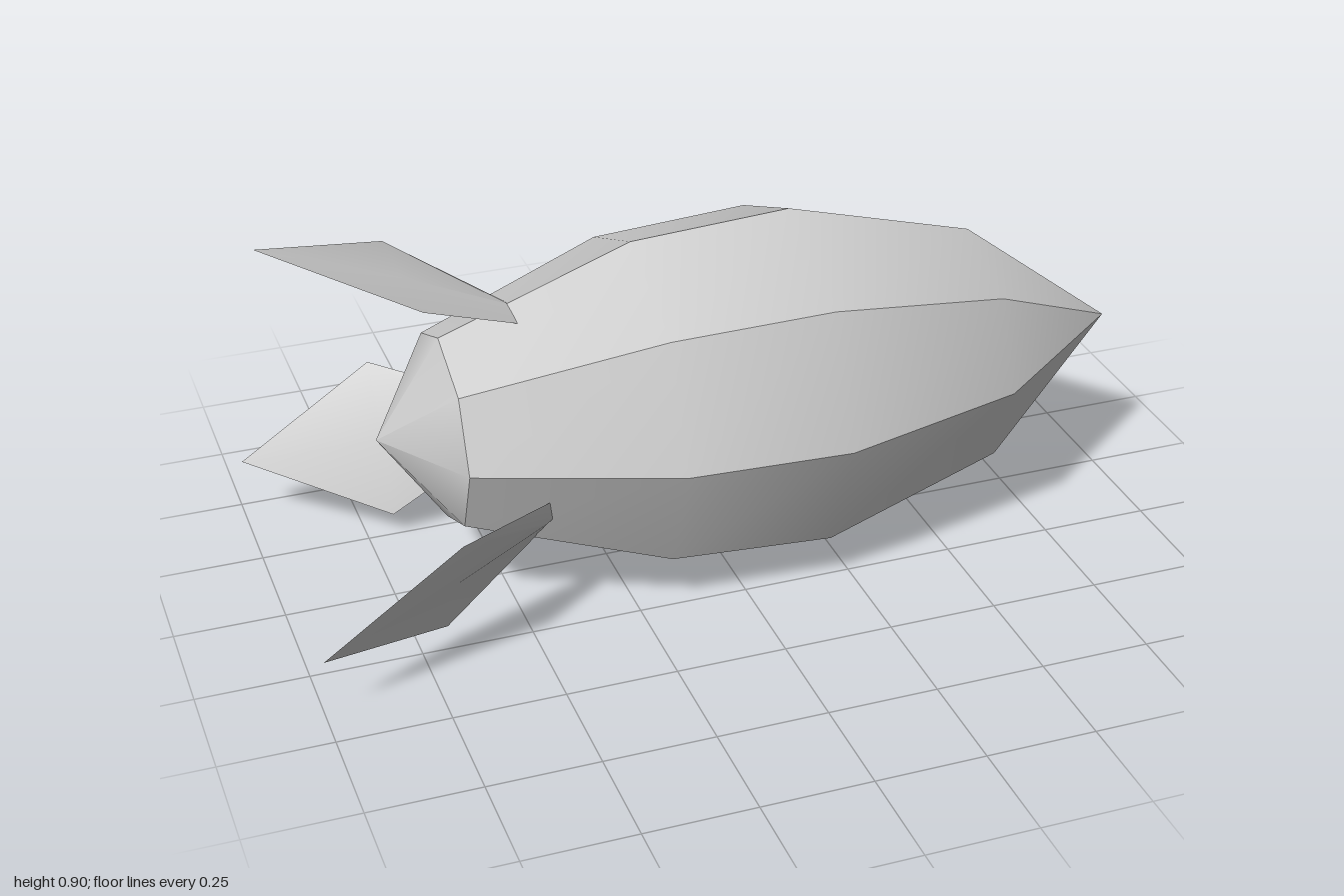
import * as THREE from 'three';
import { toCreasedNormals } from 'three/addons/utils/BufferGeometryUtils.js';

const AXIS_Y = 0.405;
const CREASE = THREE.MathUtils.degToRad(30);

// Eight-sided hull turned around the x axis: [radius, x] from tail to nose
function hullGeometry() {
  const profile = [[0, -0.77], [0.225, -0.62], [0.384, -0.18], [0.405, 0.19], [0.283, 0.63], [0, 0.995]];
  const geometry = new THREE.LatheGeometry(profile.map(([r, x]) => new THREE.Vector2(r, x)), 8);
  geometry.rotateZ(-Math.PI / 2);
  return toCreasedNormals(geometry, CREASE);
}

// Kite-shaped fin with a thin keel, from diamond sections running tip to root
function finGeometry() {
  // x, half width, edge height, ridge height, keel height (above the hull axis)
  const sections = [
    [-1.0, 0, 0.5, 0.5, 0.5],
    [-0.69, 0.18, 0.387, 0.383, 0.355],
    [-0.46, 0.06, 0.262, 0.28, 0.25],
    [-0.4, 0.03, 0.23, 0.245, 0.22],
  ];
  const positions = [];
  const indices = [];
  sections.forEach(([x, w, edge, ridge, keel], i) => {
    positions.push(x, edge, w, x, ridge, 0, x, edge, -w, x, keel, 0);
    if (i === 0) return;
    for (let k = 0; k < 4; k++) {
      const a = (i - 1) * 4 + k, b = (i - 1) * 4 + ((k + 1) % 4);
      const c = i * 4 + k, d = i * 4 + ((k + 1) % 4);
      if (i > 1) indices.push(a, c, b);
      else indices.push(a, c, d); // the tip is a single point
      if (i > 1) indices.push(b, c, d);
    }
  });
  const geometry = new THREE.BufferGeometry();
  geometry.setAttribute('position', new THREE.Float32BufferAttribute(positions, 3));
  geometry.setIndex(indices);
  return toCreasedNormals(geometry, CREASE);
}

export function createModel() {
  const model = new THREE.Group();
  model.name = 'airship';
  const grey = new THREE.MeshStandardMaterial({ color: 0xcccccc });
  grey.name = 'light grey';
  grey.side = THREE.DoubleSide;

  const hull = new THREE.Mesh(hullGeometry(), grey);
  hull.name = 'hull';
  hull.position.y = AXIS_Y;
  model.add(hull);

  // Three tail fins spaced evenly around the hull
  const geometry = finGeometry();
  ['topFin', 'leftFin', 'rightFin'].forEach((name, i) => {
    const fin = new THREE.Mesh(geometry, grey);
    fin.name = name;
    fin.position.y = AXIS_Y;
    fin.rotation.x = (i * Math.PI * 2) / 3;
    model.add(fin);
  });
  return model;
}
